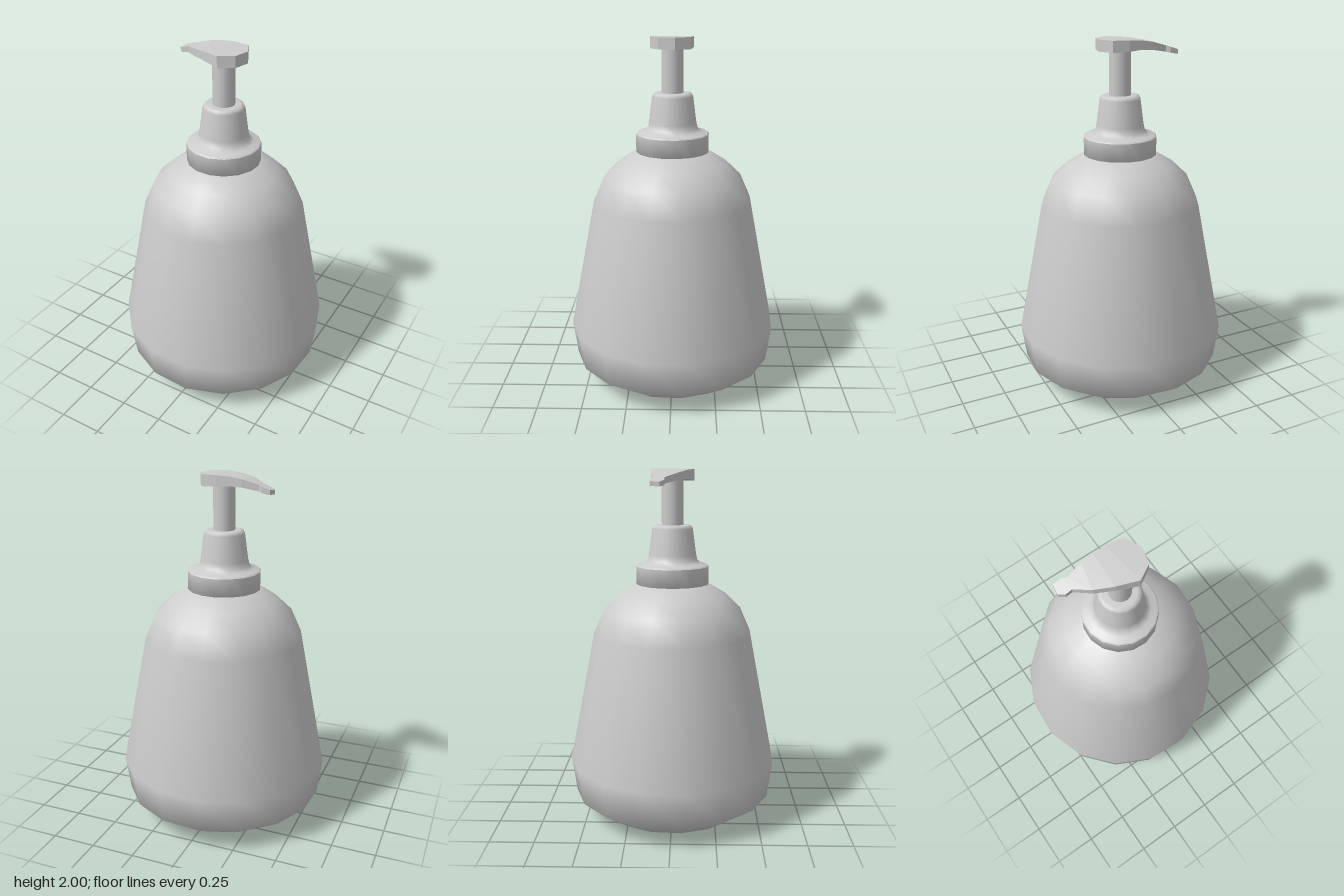
import * as THREE from 'three';

const SIDES = 16;
const PHASE = THREE.MathUtils.degToRad(7.5);

function material(options = {}) {
  return new THREE.MeshStandardMaterial({ color: 0xcccccc, ...options });
}

// Revolved part from [radius, height] pairs, listed bottom to top
function turned(name, profile) {
  const points = profile.map(([r, y]) => new THREE.Vector2(r, y));
  const mesh = new THREE.Mesh(new THREE.LatheGeometry(points, SIDES, PHASE), material());
  mesh.name = name;
  return mesh;
}

// Linear interpolation through [x, y] pairs
function heightAt(curve, x) {
  for (let i = 1; i < curve.length; i++) {
    const [x0, y0] = curve[i - 1], [x1, y1] = curve[i];
    if (x <= x1) return y0 + (y1 - y0) * (x - x0) / (x1 - x0);
  }
  return curve[curve.length - 1][1];
}

// Pump head: four-cornered sections from the spout tip to the rounded end
function pumpHead() {
  const top = [[-0.31, 1.933], [-0.24, 1.957], [-0.16, 1.982], [-0.04, 2], [0.14, 2]];
  const bottom = [[-0.31, 1.91], [-0.26, 1.919], [-0.17, 1.94], [-0.08, 1.947], [0.03, 1.937], [0.14, 1.937]];
  // back x, back z, front x, front z
  const sections = [
    [-0.295, -0.112, -0.305, -0.06],
    [-0.25, -0.112, -0.275, -0.035],
    [-0.23, -0.097, -0.24, -0.035],
    [-0.14, -0.11, -0.17, 0.03],
    [-0.07, -0.113, -0.08, 0.08],
    [0, -0.115, 0.03, 0.122],
    [0.09, -0.1, 0.11, 0.075],
    [0.132, -0.015, 0.132, -0.015],
  ];
  const positions = [], index = [];
  for (const [bx, bz, fx, fz] of sections) {
    positions.push(
      bx, heightAt(top, bx), bz, fx, heightAt(top, fx), fz,
      fx, heightAt(bottom, fx), fz, bx, heightAt(bottom, bx), bz);
  }
  const quad = (a, b, c, d) => index.push(a, b, c, a, c, d);
  for (let i = 0; i < sections.length - 1; i++) {
    for (let k = 0; k < 4; k++) {
      const a = i * 4 + k, b = i * 4 + (k + 1) % 4;
      quad(a, b, b + 4, a + 4);
    }
  }
  quad(0, 3, 2, 1); // spout tip
  const geometry = new THREE.BufferGeometry();
  geometry.setAttribute('position', new THREE.Float32BufferAttribute(positions, 3));
  geometry.setIndex(index);
  geometry.computeVertexNormals();
  const mesh = new THREE.Mesh(geometry, material({ flatShading: true }));
  mesh.name = 'pumpHead';
  return mesh;
}

export function createModel() {
  const group = new THREE.Group();
  group.name = 'soapDispenser';

  group.add(turned('bottle', [
    [0, 0], [0.42, 0.022], [0.575, 0.13], [0.602, 0.33],
    [0.453, 1.085], [0.393, 1.22], [0.305, 1.305], [0.205, 1.365], [0.15, 1.37],
  ]));

  // Screw cap: side band, then the rounded shoulder and tapered neck
  group.add(turned('capBand', [[0.15, 1.363], [0.206, 1.363], [0.206, 1.465]]));
  group.add(turned('capNeck', [
    [0.206, 1.465], [0.198, 1.474], [0.165, 1.48], [0.142, 1.498], [0.134, 1.53],
    [0.115, 1.675], [0.106, 1.691], [0.09, 1.695], [0.055, 1.695],
  ]));

  group.add(turned('pumpStem', [[0.061, 1.68], [0.061, 1.955]]));
  group.add(pumpHead());
  return group;
}
